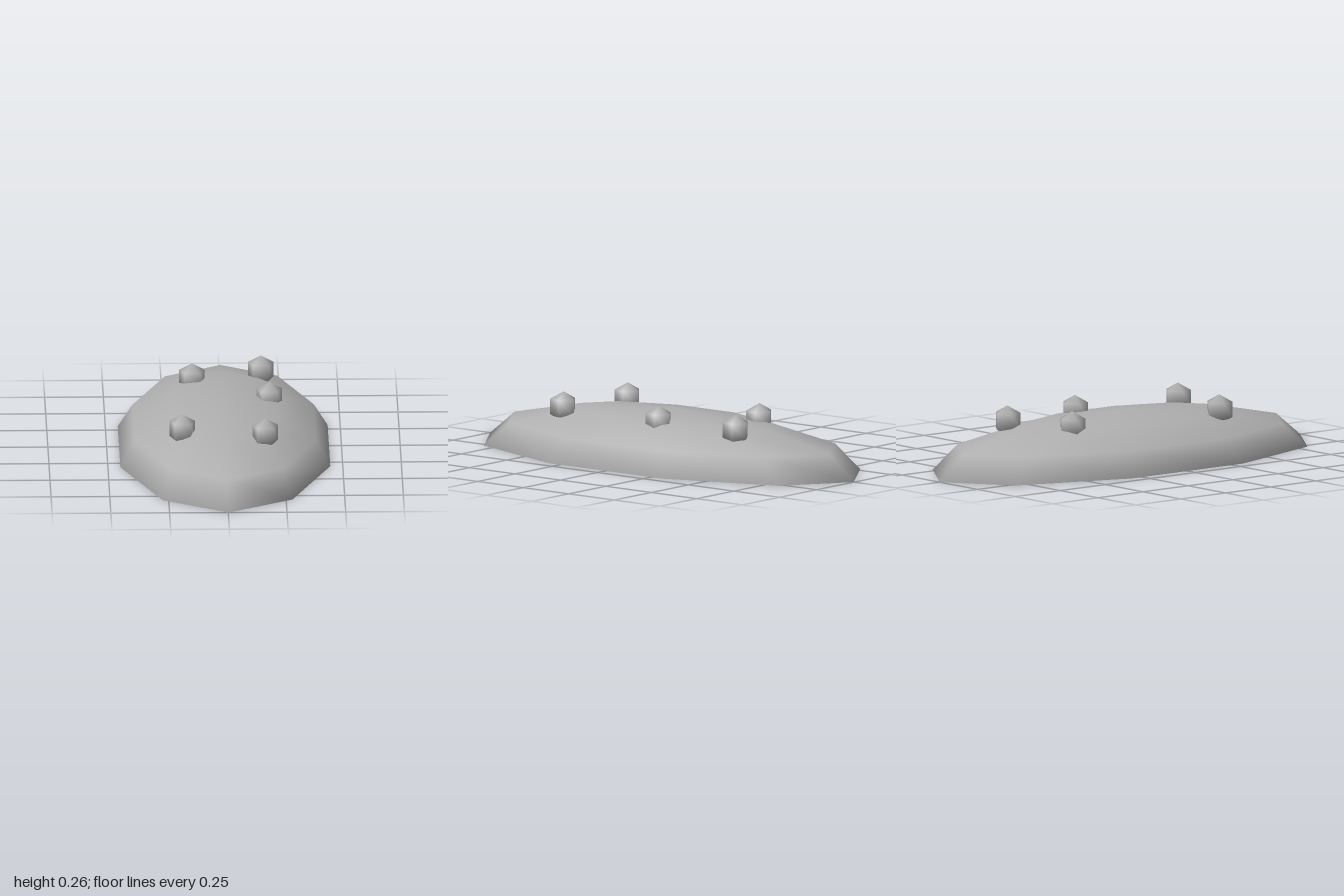
import * as THREE from 'three';
import { mergeVertices } from 'three/addons/utils/BufferGeometryUtils.js';

const HEIGHT = 0.21;
const HALF_WIDTH = 0.47;

// Ten-sided ellipsoid with its lower half pressed flat, smooth across the rim
function shellGeometry() {
  const geo = new THREE.SphereGeometry(1, 10, 6, Math.PI / 2);
  geo.scale(HALF_WIDTH, HEIGHT, 1);
  const pos = geo.attributes.position;
  for (let i = 0; i < pos.count; i++) pos.setY(i, Math.max(0, pos.getY(i)));
  geo.deleteAttribute('uv');
  geo.deleteAttribute('normal');
  const merged = mergeVertices(geo, 1e-4);
  merged.computeVertexNormals();
  return merged;
}

export function createModel() {
  const model = new THREE.Group();
  model.name = 'knobbedShell';
  const grey = new THREE.MeshStandardMaterial({ color: 0xb0b0b0 });
  grey.name = 'stone grey';

  const shell = new THREE.Mesh(shellGeometry(), grey);
  shell.name = 'shell';
  model.add(shell);

  // Five-sided knobs, each with a corner pointing to the back
  const knobGeo = new THREE.SphereGeometry(0.066, 5, 3, Math.PI * 1.5);
  const knobs = [[-0.13, -0.375], [0.165, -0.488], [0.195, -0.088], [-0.185, 0.395], [0.167, 0.46]];
  for (const [x, z] of knobs) {
    const knob = new THREE.Mesh(knobGeo, grey);
    knob.name = 'knob';
    knob.position.set(x, 0.192, z);
    model.add(knob);
  }
  return model;
}
